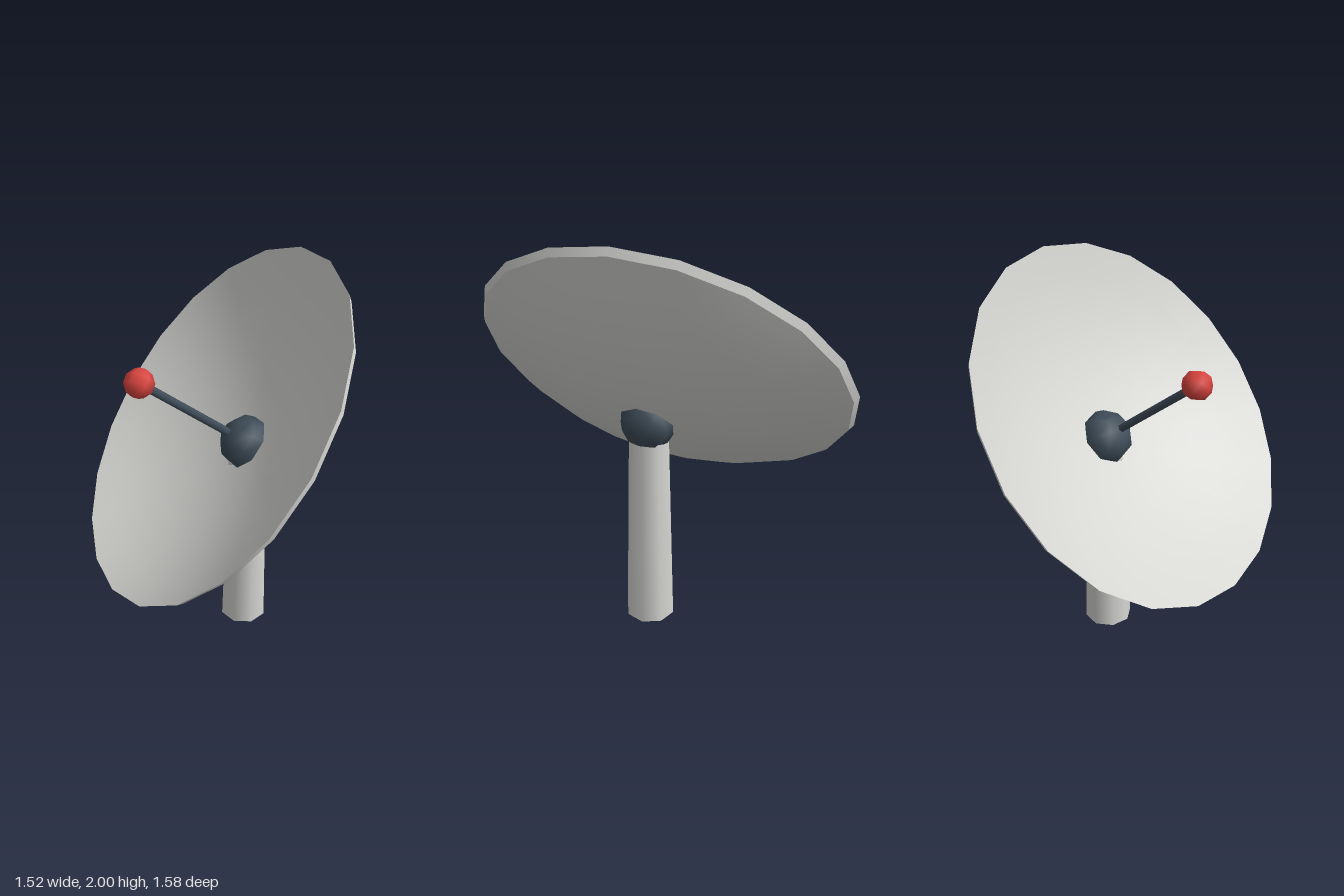
import * as THREE from 'three';

export function createModel() {
  const lightGrey = new THREE.MeshStandardMaterial({ color: 0xd6d6d3 });
  lightGrey.name = 'lightGrey';
  lightGrey.side = THREE.DoubleSide;
  const slate = new THREE.MeshStandardMaterial({ color: 0x3e4c58 });
  slate.name = 'slate';
  const red = new THREE.MeshStandardMaterial({ color: 0xd9443f });
  red.name = 'red';

  const model = new THREE.Group();
  model.name = 'dishAntenna';
  const add = (parent, name, geometry, material, y = 0) => {
    const mesh = new THREE.Mesh(geometry, material);
    mesh.name = name;
    mesh.position.y = y;
    parent.add(mesh);
    return mesh;
  };

  // Tapered mast, open at both ends
  const mast = add(model, 'mast', new THREE.CylinderGeometry(0.1, 0.125, 1.04, 8, 1, true), lightGrey, 0.52);
  mast.position.x = 0.165;
  mast.position.z = -0.143;

  // Tilted head: local y is the aiming axis, origin at the centre of the rim
  const head = new THREE.Group();
  head.name = 'head';
  const aim = new THREE.Vector3(-0.592, 0.616, 0.52).normalize();
  const up = new THREE.Vector3(0, aim.z, -aim.y).normalize();
  const side = new THREE.Vector3().crossVectors(aim, up);
  head.quaternion.setFromRotationMatrix(new THREE.Matrix4().makeBasis(side, aim, up));
  head.position.set(0, 1.2625, 0);
  model.add(head);

  // Bowl: parabolic back and front shells joined by a sharp rim band
  const bowl = (radius, rimY, depth) => Array.from({ length: 8 }, (_, i) => {
    const t = i / 7;
    return new THREE.Vector2(radius * t, rimY - depth * (1 - t * t));
  });
  const back = bowl(0.917, -0.035, 0.27);
  const front = bowl(0.937, 0, 0.27).reverse();
  const lathe = (points) => new THREE.LatheGeometry(points, 20);
  add(head, 'dishBack', lathe(back), lightGrey);
  add(head, 'dishRim', lathe([back[7], front[0]]), lightGrey);
  add(head, 'dishFront', lathe(front), lightGrey);

  // Pivot hub, feed arm and receiver ball along the axis
  add(head, 'hub', new THREE.SphereGeometry(0.142, 8, 6), slate, -0.278);
  add(head, 'feedArm', new THREE.CylinderGeometry(0.021, 0.021, 0.66, 6), slate, 0.07);
  const ball = add(head, 'receiverBall', new THREE.SphereGeometry(0.074, 6, 5), red, 0.4);
  ball.rotation.x = Math.PI / 2;

  return model;
}
